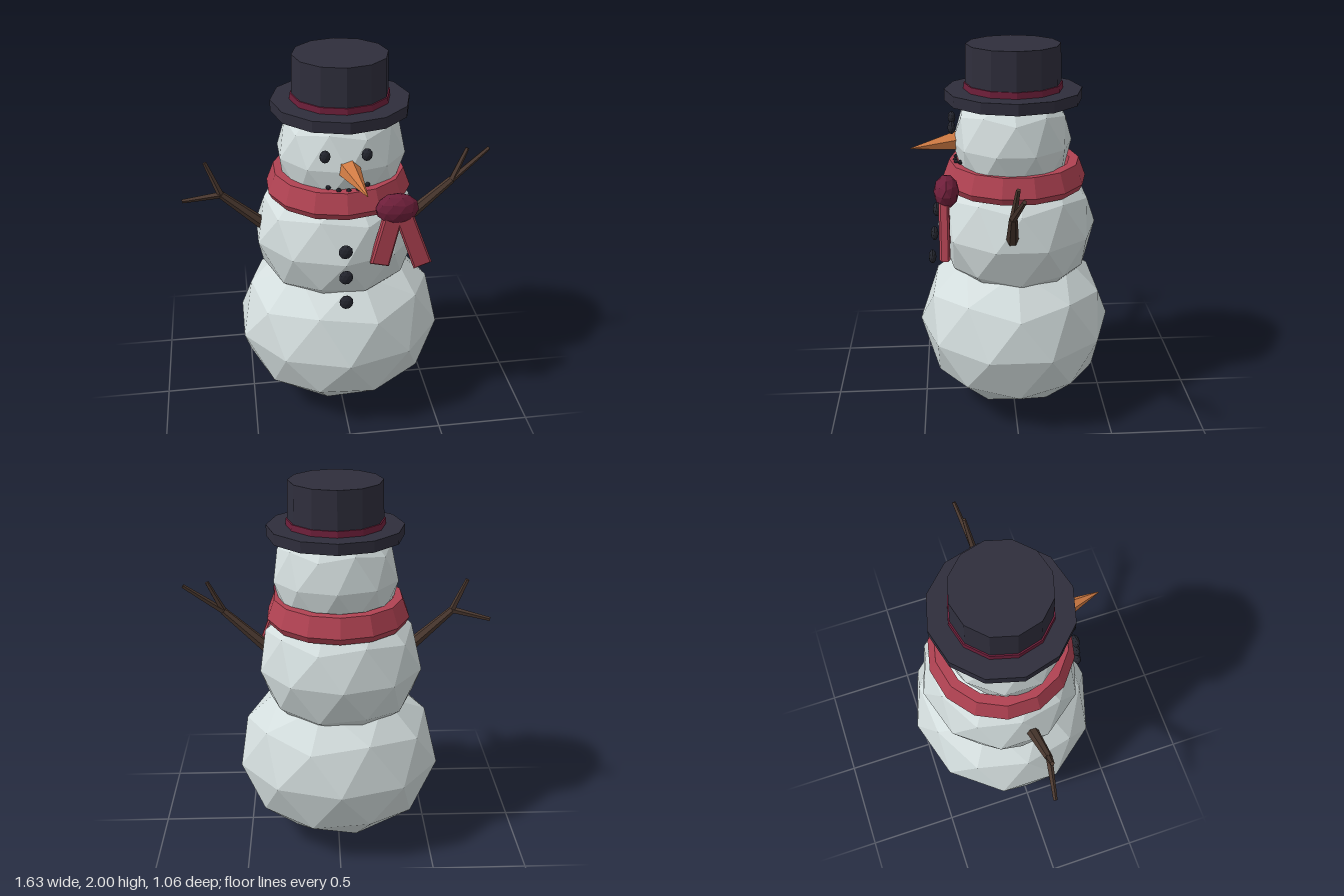
import * as THREE from 'three';

const mat = (name, color) => {
  const m = new THREE.MeshStandardMaterial({ color, flatShading: true });
  m.name = name;
  return m;
};

export function createModel() {
  const group = new THREE.Group();
  group.name = 'snowman';
  const snow = mat('snow', 0xd3dddd);
  const cloth = mat('scarf red', 0xb04252);
  const wine = mat('dark wine red', 0x6e1f3a);
  const felt = mat('hat felt', 0x2f2e3c);
  const coal = mat('coal', 0x24262f);
  const orange = mat('carrot orange', 0xd27c44);
  const wood = mat('twig brown', 0x4a382f);

  const add = (name, geometry, material, pos = [0, 0, 0], parent = group) => {
    const mesh = new THREE.Mesh(geometry, material);
    mesh.name = name;
    mesh.position.set(...pos);
    parent.add(mesh);
    return mesh;
  };

  // Faceted ball standing on a corner, stretched to three radii
  const ball = (name, radii, pos, material, detail = 1) => {
    const g = new THREE.IcosahedronGeometry(1, detail);
    g.rotateZ(-Math.atan(2 / (1 + Math.sqrt(5))));
    g.scale(...radii);
    return add(name, g, material, pos);
  };

  // Tapered rod between two points
  const rod = (name, a, b, ra, rb, sides, material, parent = group) => {
    const from = new THREE.Vector3(...a), to = new THREE.Vector3(...b);
    const dir = to.clone().sub(from);
    const g = new THREE.CylinderGeometry(rb, ra, dir.length(), sides);
    const mesh = add(name, g, material, from.add(to).multiplyScalar(0.5).toArray(), parent);
    mesh.quaternion.setFromUnitVectors(new THREE.Vector3(0, 1, 0), dir.normalize());
    return mesh;
  };

  // Snow body
  ball('lowerBody', [0.563, 0.472, 0.523], [-0.002, 0.472, -0.009], snow);
  ball('middleBody', [0.444, 0.395, 0.425], [-0.012, 1.03, -0.022], snow);
  ball('head', [0.335, 0.33, 0.31], [0.012, 1.5, 0.004], snow);

  // Scarf ring, knot and two hanging tails
  const ring = [[0.28, 1.28], [0.36, 1.265], [0.378, 1.3], [0.34, 1.4], [0.29, 1.4], [0.28, 1.28]];
  add('scarfRing', new THREE.LatheGeometry(ring.map(p => new THREE.Vector2(...p)), 14), cloth, [0, 0, -0.008]);
  ball('scarfKnot', [0.11, 0.082, 0.064], [0.248, 1.31, 0.348], wine);

  const tail = (name, top, bottom) => {
    const dx = bottom[0] - top[0], dy = bottom[1] - top[1];
    const len = Math.hypot(dx, dy), w0 = 0.037, w1 = 0.04;
    const s = new THREE.Shape([[-w0, 0], [-w1, -len], [w1, -len], [w0, 0]].map(p => new THREE.Vector2(...p)));
    const g = new THREE.ExtrudeGeometry(s, {
      depth: 0.032, bevelEnabled: true, bevelThickness: 0.01, bevelSize: 0.009, bevelSegments: 1,
    });
    g.translate(0, 0, -0.016);
    add(name, g, cloth, [top[0], top[1], 0.362]).rotation.z = Math.atan2(dx, -dy);
  };
  tail('scarfTailInner', [0.228, 1.29], [0.164, 1.017]);
  tail('scarfTailOuter', [0.275, 1.29], [0.382, 0.997]);

  // Top hat
  add('hatBrim', new THREE.CylinderGeometry(0.352, 0.352, 0.057, 12), felt, [0.012, 1.746, -0.003]);
  add('hatCrown', new THREE.CylinderGeometry(0.239, 0.246, 0.235, 12), felt, [0.011, 1.8825, -0.003]);
  add('hatBand', new THREE.CylinderGeometry(0.252, 0.254, 0.032, 12), wine, [0.011, 1.79, -0.003]);

  // Carrot nose
  rod('carrotNose', [0.016, 1.506, 0.28], [0.067, 1.48, 0.527], 0.058, 0.003, 6, orange);

  // Coal eyes, smile and buttons
  for (const x of [-0.105, 0.098]) ball('eye', [0.027, 0.033, 0.02], [x, 1.595, 0.315], coal);
  [[-0.085, 1.412, 0.275], [-0.036, 1.403, 0.296], [0.013, 1.4, 0.3], [0.062, 1.403, 0.296], [0.11, 1.416, 0.275]]
    .forEach(p => ball('mouthCoal', [0.013, 0.012, 0.012], p, coal));
  [[1.115, 0.407], [0.976, 0.423], [0.838, 0.439]]
    .forEach(([y, z]) => ball('button', [0.036, 0.039, 0.021], [-0.016, y, z], coal));

  // Twig arms, each with a fork
  const arm = (name, base, fork, tips) => {
    const twig = new THREE.Group();
    twig.name = name;
    group.add(twig);
    rod('branch', base, fork, 0.032, 0.02, 6, wood, twig);
    tips.forEach(t => rod('twig', fork, t, 0.018, 0.011, 5, wood, twig));
  };
  arm('leftArm', [0.385, 1.092, 0.026], [0.605, 1.295, 0.036], [[0.805, 1.45, 0], [0.682, 1.463, 0.018]]);
  arm('rightArm', [-0.405, 1.1, 0.026], [-0.612, 1.287, 0.036], [[-0.812, 1.245, 0], [-0.682, 1.463, 0.018]]);

  return group;
}
